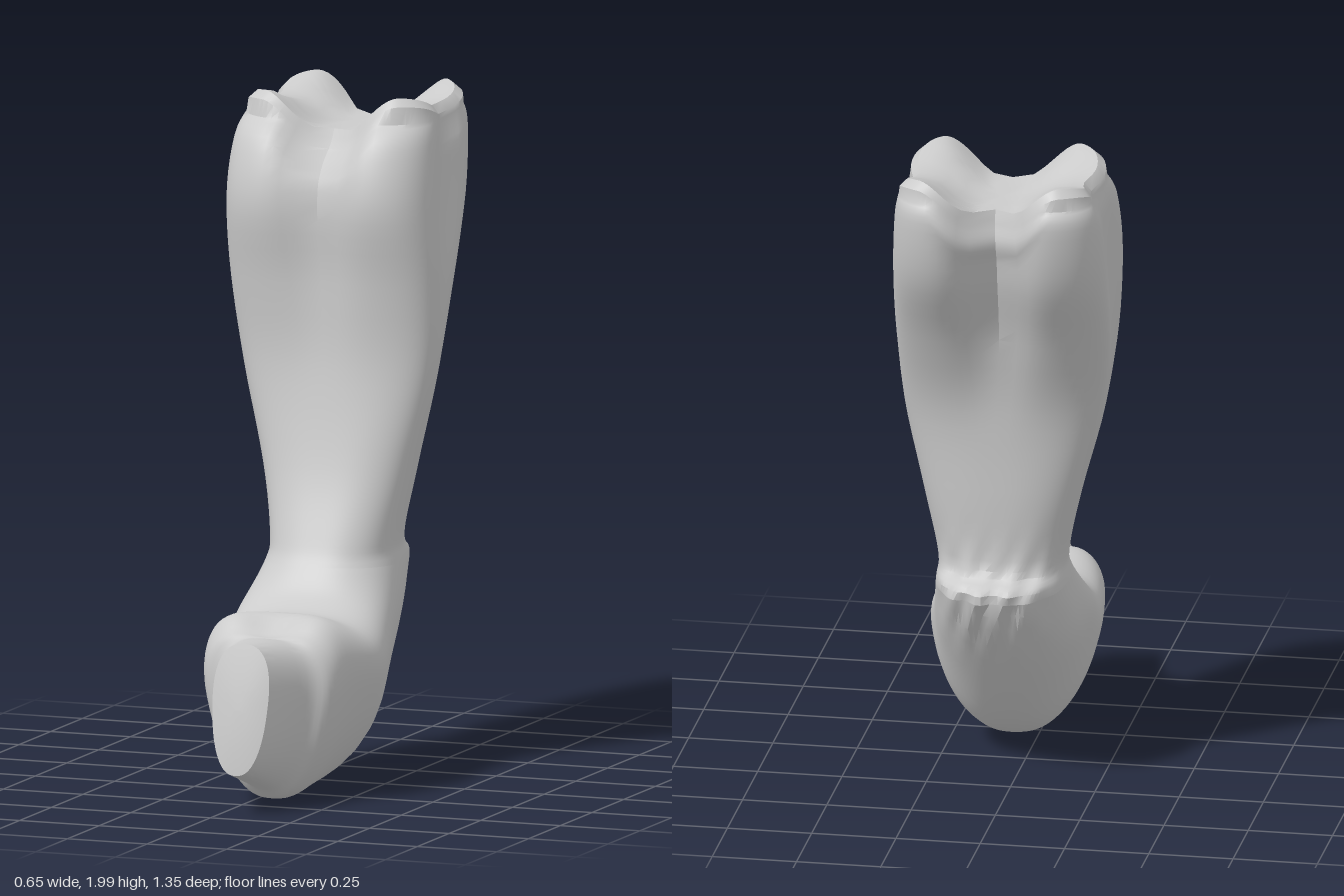
import * as THREE from 'three';
import { toCreasedNormals } from 'three/addons/utils/BufferGeometryUtils.js';

// Outline from the knuckle down to the toe:
// front z, front y, back z, back y, min x, max x
const OUTLINE = [
  [-0.16, 1.93, -0.66, 1.94, -0.30, 0.29],
  [-0.09, 1.85, -0.68, 1.88, -0.325, 0.305],
  [-0.05, 1.68, -0.63, 1.68, -0.335, 0.32],
  [-0.085, 1.45, -0.49, 1.45, -0.325, 0.33],
  [-0.10, 1.20, -0.38, 1.20, -0.28, 0.315],
  [-0.05, 0.92, -0.35, 0.90, -0.20, 0.26],
  [0.02, 0.72, -0.345, 0.70, -0.155, 0.225],
  [0.06, 0.64, -0.41, 0.62, -0.165, 0.235],
  [0.13, 0.56, -0.22, 0.34, -0.21, 0.285],
  [0.23, 0.53, 0.03, 0.08, -0.215, 0.33],
  [0.36, 0.57, 0.28, 0.01, -0.195, 0.29],
  [0.43, 0.52, 0.40, 0.01, -0.165, 0.265],
  [0.47, 0.50, 0.48, 0.05, -0.09, 0.205],
  [0.615, 0.50, 0.685, 0.12, -0.04, 0.145],
];
const ANKLE = 7;
const SIDES = 80;
const STEPS = 5;

const { smoothstep } = THREE.MathUtils;
const power = (v, e) => Math.sign(v) * Math.pow(Math.abs(v), e);
const gauss = (v, w) => Math.exp(-((v / w) ** 2));

// Catmull-Rom blend of the outline
function outlineAt(t) {
  const n = OUTLINE.length - 1;
  const i = Math.min(Math.floor(t), n - 1);
  const f = t - i;
  const at = (k) => OUTLINE[Math.max(0, Math.min(n, k))];
  return OUTLINE[0].map((_, c) => {
    const [a, b, d, e] = [at(i - 1)[c], at(i)[c], at(i + 1)[c], at(i + 2)[c]];
    return b + 0.5 * f * (d - a + f * (2 * a - 5 * b + 4 * d - e + f * (3 * (b - d) + e - a)));
  });
}

// One grooved, squared oval lying between its front and back points
function ring([fz, fy, bz, by, x0, x1]) {
  const front = new THREE.Vector3(0, fy, fz);
  const back = new THREE.Vector3(0, by, bz);
  const length = front.distanceTo(back);
  const half = (x1 - x0) / 2;
  // grooves deepen toward the knuckle, the foot narrows to its sole, the lip is notched
  const knuckle = smoothstep(fy, 1.1, 1.8);
  const taper = 0.45 * smoothstep(fz, 0, 0.2) - 0.2 * smoothstep(fz, 0.42, 0.6);
  const frontGroove = 0.065 * knuckle + 0.06 * gauss(fz - 0.38, 0.06);
  const backGroove = 0.125 * knuckle;
  const square = 2.45 + 0.9 * knuckle;
  const points = [];
  for (let j = 0; j < SIDES; j++) {
    const a = (j / SIDES) * Math.PI * 2;
    let u = power(Math.cos(a), 2 / square);
    let x = power(Math.sin(a), 2 / square) * half;
    x *= (1 + taper * 0.25) * (1 - taper * (1 - u) / 2);
    x *= 1 - 0.11 * knuckle * gauss(u + 0.05, 0.3);
    const depth = u > 0 ? frontGroove * gauss(x, 0.1) : -backGroove * gauss(x, 0.095);
    u -= (2 * depth) / length * Math.min(1, Math.abs(u) * 1.5);
    const p = back.clone().lerp(front, (u + 1) / 2);
    p.x = (x0 + x1) / 2 + x;
    // rough, ridged heel
    const heel = gauss(p.y - 0.6, 0.13) * Math.max(0, -u);
    p.z += heel * 0.016 * Math.sin(p.x * 70) * Math.sin(p.y * 31 + p.x * 12);
    points.push(p);
  }
  return points;
}

// Shrinks a ring toward its middle to close an end
function shrink(points, scale) {
  const middle = points.reduce((m, p) => m.add(p), new THREE.Vector3()).divideScalar(points.length);
  return points.map((p) => p.clone().sub(middle).multiplyScalar(scale).add(middle));
}

function loft(rings) {
  const position = rings.flat().flatMap((p) => [p.x, p.y, p.z]);
  const index = [];
  for (let i = 0; i < rings.length - 1; i++) {
    for (let j = 0; j < SIDES; j++) {
      const k = (j + 1) % SIDES;
      const [a, b] = [i * SIDES + j, i * SIDES + k];
      const [c, d] = [a + SIDES, b + SIDES];
      index.push(a, c, b, b, c, d);
    }
  }
  const geometry = new THREE.BufferGeometry();
  geometry.setAttribute('position', new THREE.Float32BufferAttribute(position, 3));
  geometry.setIndex(index);
  return toCreasedNormals(geometry, 0.6);
}

// Saddle-shaped top: low valley in the middle, a raised knuckle on each side
function saddle(p) {
  const rise = smoothstep(Math.abs(p.x), 0.04, 0.21);
  return 1.89 + rise * (0.083 + 0.024 * Math.cos((p.z + 0.64) * 14));
}

export function createModel() {
  const group = new THREE.Group();
  group.name = 'legBone';
  const material = new THREE.MeshStandardMaterial({ color: 0xcccccc });

  const rings = [];
  const total = (OUTLINE.length - 1) * STEPS;
  for (let i = 0; i <= total; i++) rings.push(ring(outlineAt(i / STEPS)));

  // fit the upper rings under the saddle, then close it
  rings[0].forEach((p) => { p.y = saddle(p) - 0.025; });
  for (let i = 1; i < 10; i++) {
    rings[i].forEach((p) => { p.y = Math.min(p.y, saddle(p) - 0.025 - 0.015 * i); });
  }
  const top = [0.001, 0.2, 0.4, 0.6, 0.8, 0.92].map((s) => {
    const inner = shrink(rings[0], s);
    inner.forEach((p) => { p.y = saddle(p); });
    return inner;
  });

  // slightly rounded toe end
  const toe = [0.9, 0.6, 0.3, 0.001].map((s) => {
    const inner = shrink(rings[total], s);
    inner.forEach((p) => { p.z += 0.012 * (1 - s * s); });
    return inner;
  });

  // shank and foot share the ring at the ankle
  const ankle = ANKLE * STEPS;
  const parts = {
    shank: [...top, ...rings.slice(0, ankle + 1)],
    foot: [...rings.slice(ankle), ...toe],
  };
  for (const [name, list] of Object.entries(parts)) {
    const mesh = new THREE.Mesh(loft(list), material);
    mesh.name = name;
    group.add(mesh);
  }
  return group;
}
